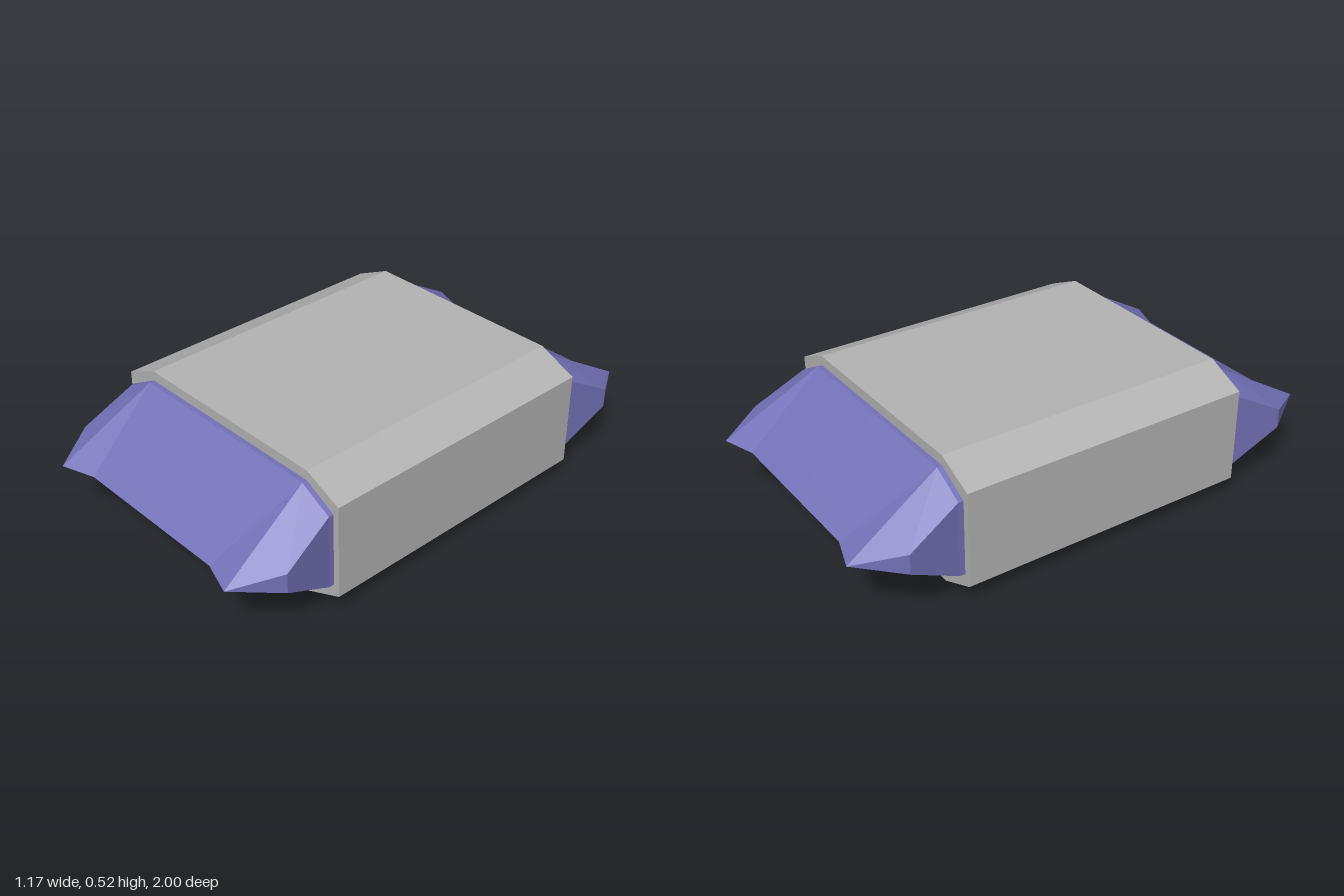
import * as THREE from 'three';

const gray = new THREE.MeshStandardMaterial({ color: 0xb4b4b4, flatShading: true });
gray.name = 'casing gray';
const violet = new THREE.MeshStandardMaterial({ color: 0x7472b8, flatShading: true });
violet.name = 'blade violet';

const MID = 0.26; // height of the symmetry plane

// Chamfered sleeve around the middle
function makeCasing() {
  const corners = [[0.585, 0.19], [0.43, 0.26], [-0.43, 0.26], [-0.585, 0.19],
    [-0.585, -0.19], [-0.43, -0.26], [0.43, -0.26], [0.585, -0.19]];
  const shape = new THREE.Shape(corners.map(([x, y]) => new THREE.Vector2(x, y)));
  const geometry = new THREE.ExtrudeGeometry(shape, { depth: 1.2, bevelEnabled: false });
  geometry.translate(0, MID, -0.6);
  const mesh = new THREE.Mesh(geometry, gray);
  mesh.name = 'casing';
  return mesh;
}

// One quarter of a wedge end: named points relative to the symmetry plane
const P = {
  O: [0, 0.22, 0.62], C: [0.43, 0.22, 0.62], A: [0.56, 0.15, 0.62], S: [0.56, 0, 0.62],
  o: [0, 0.22, 0.55], c: [0.43, 0.22, 0.55], a: [0.56, 0.15, 0.55], s: [0.56, 0, 0.55],
  B: [0.585, 0.04, 0.825], E: [0.585, 0, 0.825], // side facet
  T: [0.475, 0, 1], R: [0.34, 0, 0.955], M: [0, 0, 0.955], // cutting edge
};
const FACES = ['MRC', 'MCO', 'RTC', 'TBC', 'BAC', 'TEB', 'SAB', 'SBE',
  'OCc', 'Oco', 'CAa', 'Cac', 'ASs', 'Asa'];

// Mirror the quarter left/right and up/down, keeping faces outward
function makeWedge(sz, name) {
  const positions = [];
  for (const sx of [1, -1]) {
    for (const sy of [1, -1]) {
      for (const face of FACES) {
        const keys = [...face];
        if (sx * sy * sz < 0) keys.reverse();
        for (const k of keys) {
          const [x, y, z] = P[k];
          positions.push(x * sx, MID + y * sy, z * sz);
        }
      }
    }
  }
  const geometry = new THREE.BufferGeometry();
  geometry.setAttribute('position', new THREE.Float32BufferAttribute(positions, 3));
  geometry.computeVertexNormals();
  const mesh = new THREE.Mesh(geometry, violet);
  mesh.name = name;
  return mesh;
}

export function createModel() {
  const model = new THREE.Group();
  model.name = 'doubleEndedWedge';
  model.add(makeCasing(), makeWedge(1, 'frontWedge'), makeWedge(-1, 'backWedge'));
  return model;
}
